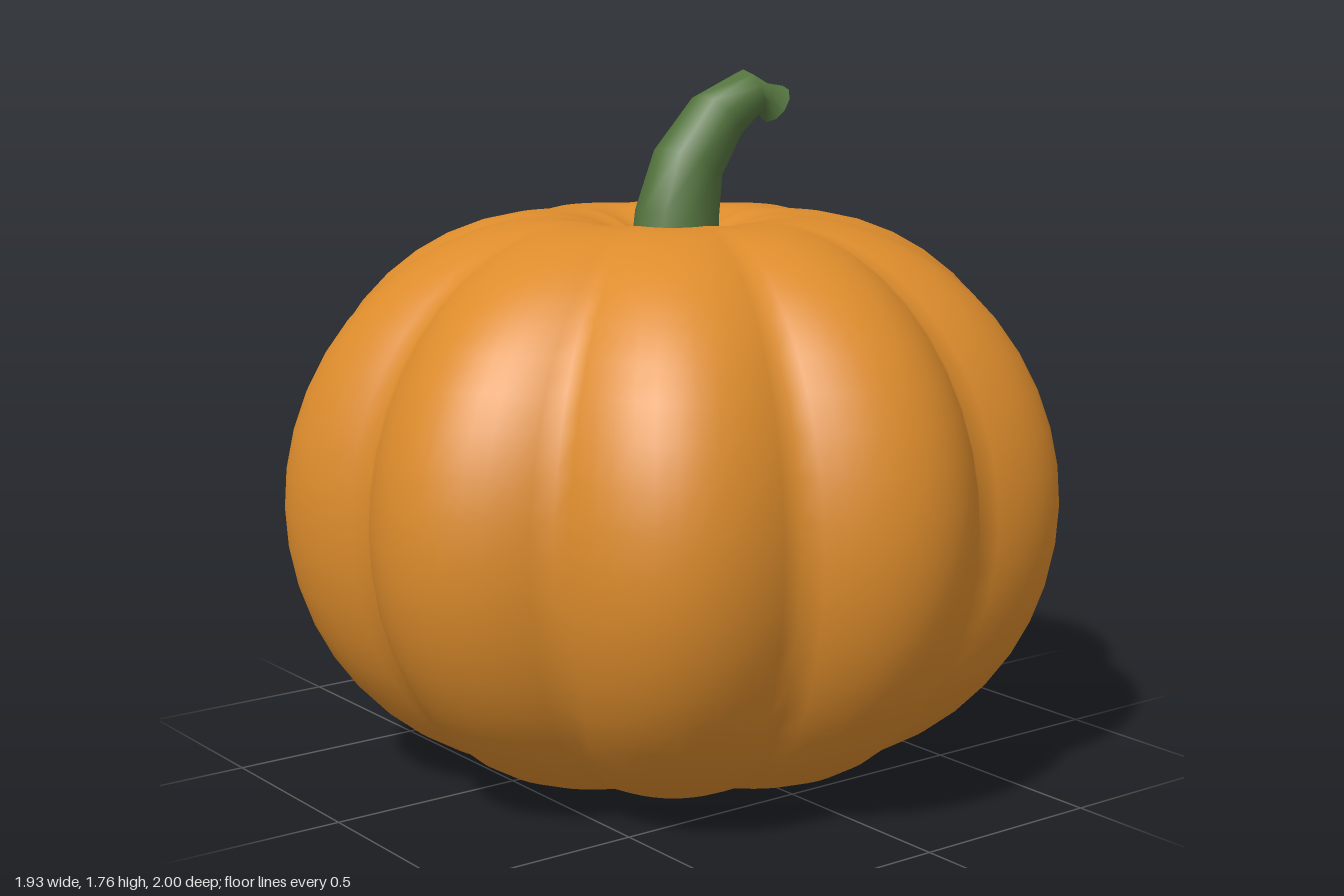
import * as THREE from 'three';

const MID = 0.7;          // height of the widest ring
const BACK = 0.61;        // depth (-z) of the flat floor of the carved pockets
const LOBES = 10;

// ---- pumpkin surface: v in [-1, 1] is the rounded side, beyond that the dimples
const lobe = (a) => 0.9 + 0.1 * Math.abs(Math.cos(a * LOBES / 2));

function surface(a, v) {
  const s = Math.sign(v), t = Math.abs(v);
  let r, y;
  if (t <= 1) {
    r = 0.32 + 0.68 * Math.cos(t * Math.PI / 2);
    y = 0.7 * Math.sin(t * Math.PI / 2);
  } else {
    const k = Math.min(t - 1, 1);
    r = 0.32 * (1 - k);
    y = 0.7 - 0.15 * k * k;
  }
  r *= lobe(a);
  return new THREE.Vector3(r * Math.sin(a), MID + s * y, r * Math.cos(a));
}

function surfaceNormal(a, v) {
  const da = 0.05, dv = 0.04;
  if (Math.abs(v) > 1.95) return new THREE.Vector3(0, Math.sign(v), 0);
  const ta = surface(a + da, v).sub(surface(a - da, v));
  const tv = surface(a, v + dv).sub(surface(a, v - dv));
  return ta.cross(tv).normalize();
}

// Distance of the skin behind the x-y plane at a point of the carved side
function skinDepth(x, y) {
  const h = (y - MID) / 0.7;
  const r = 0.32 + 0.68 * Math.sqrt(1 - h * h);
  let lo = 0, hi = 0.94;
  for (let i = 0; i < 30; i++) {
    const m = (lo + hi) / 2;
    if (r * lobe(m) * Math.sin(m) < Math.abs(x)) lo = m; else hi = m;
  }
  return r * lobe(lo) * Math.cos(lo);
}

// ---- carved outlines, counter-clockwise in x-y
const mirror = (pts) => pts.map(([x, y]) => [-x, y]).reverse();
const eye = [[0.12, 0.77], [0.55, 0.75], [0.37, 1.1]];
const nose = [[-0.1, 0.615], [0.1, 0.615], [0, 0.785]];
const halfMouth = [
  [0.1, 0.23], [0.1, 0.13], [0.24, 0.165], [0.42, 0.28], [0.53, 0.38], [0.6, 0.48],
  [0.66, 0.59], [0.33, 0.47], [0.33, 0.36], [0.15, 0.36], [0.15, 0.46],
];
const cuts = {
  leftEye: eye,
  rightEye: mirror(eye),
  nose,
  mouth: [...halfMouth, ...mirror(halfMouth)],
};

function triangles(outline) {
  const pts = outline.map(([x, y]) => new THREE.Vector2(x, y));
  return THREE.ShapeUtils.triangulateShape(pts, []).map((f) => f.map((i) => outline[i]));
}

// Split a polygon by the line p-q into its left and right parts
function split(poly, p, q) {
  const side = (c) => (q[0] - p[0]) * (c[1] - p[1]) - (q[1] - p[1]) * (c[0] - p[0]);
  const left = [], right = [];
  poly.forEach((c, i) => {
    const d = poly[(i + 1) % poly.length];
    const sc = side(c), sd = side(d);
    if (sc >= 0) left.push(c);
    if (sc <= 0) right.push(c);
    if (sc * sd < 0) {
      const t = sc / (sc - sd);
      const m = c.map((n, k) => n + (d[k] - n) * t);
      left.push(m);
      right.push(m);
    }
  });
  return [left, right];
}

// Remove a convex triangle from a list of polygons
function subtract(polys, tri) {
  const range = (list, k) => {
    const n = list.map((c) => c[k]);
    return [Math.min(...n), Math.max(...n)];
  };
  const out = [];
  for (const poly of polys) {
    const apart = [0, 1].some((k) => {
      const [a, b] = range(poly, k), [c, d] = range(tri, k);
      return b <= c || a >= d;
    });
    if (apart) { out.push(poly); continue; }
    let rest = poly;
    for (let i = 0; i < 3 && rest.length > 2; i++) {
      const [inside, outside] = split(rest, tri[i], tri[(i + 1) % 3]);
      if (outside.length > 2) out.push(outside);
      rest = inside;
    }
  }
  return out;
}

function geometry(pos, nor) {
  const g = new THREE.BufferGeometry();
  g.setAttribute('position', new THREE.Float32BufferAttribute(pos, 3));
  if (nor) g.setAttribute('normal', new THREE.Float32BufferAttribute(nor, 3));
  else g.computeVertexNormals();
  return g;
}

// Ribbed skin with the face cut out of its back
function skinGeometry() {
  const SEG = 120, ROWS = 44;
  const pos = [], nor = [];
  const holes = Object.values(cuts).flatMap(triangles);
  const vertex = (i, j) => {
    const a = (i / SEG) * Math.PI * 2, v = -2 + (4 * j) / ROWS;
    return [...surface(a, v).toArray(), ...surfaceNormal(a, v).toArray()];
  };
  for (let j = 0; j < ROWS; j++) {
    for (let i = 0; i < SEG; i++) {
      const a = vertex(i, j), b = vertex(i + 1, j), c = vertex(i + 1, j + 1), d = vertex(i, j + 1);
      let polys = [[a, b, c], [a, c, d]];
      if (a[2] < -0.45) for (const h of holes) polys = subtract(polys, h);
      for (const p of polys) {
        for (let k = 1; k < p.length - 1; k++) {
          for (const w of [p[0], p[k], p[k + 1]]) {
            pos.push(w[0], w[1], w[2]);
            nor.push(w[3], w[4], w[5]);
          }
        }
      }
    }
  }
  return geometry(pos, nor);
}

// Side walls and flat floor of one carved pocket
function pocketGeometry(outline) {
  const pos = [], STEPS = 12;
  outline.forEach((p, i) => {
    const q = outline[(i + 1) % outline.length];
    const at = (t) => [p[0] + (q[0] - p[0]) * t, p[1] + (q[1] - p[1]) * t];
    for (let s = 0; s < STEPS; s++) {
      const a = at(s / STEPS), b = at((s + 1) / STEPS);
      const za = -Math.max(skinDepth(...a), BACK), zb = -Math.max(skinDepth(...b), BACK);
      pos.push(...a, za, ...a, -BACK, ...b, -BACK, ...a, za, ...b, -BACK, ...b, zb);
    }
  });
  for (const [a, b, c] of triangles(outline)) pos.push(...a, -BACK, ...c, -BACK, ...b, -BACK);
  return geometry(pos);
}

// Bent stem with a flared end: rings of [x, y, z, radius]
function stemGeometry() {
  const rings = [
    [0.01, 1.24, 0, 0.118], [0.018, 1.4, 0, 0.107], [0.05, 1.53, 0.005, 0.092],
    [0.13, 1.645, 0.02, 0.078], [0.222, 1.703, 0.035, 0.06], [0.26, 1.69, 0.045, 0.036],
    [0.295, 1.67, 0.05, 0.052],
  ];
  const SIDES = 10, pos = [], index = [];
  rings.forEach(([x, y, z, r], k) => {
    const p = rings[Math.max(k - 1, 0)], q = rings[Math.min(k + 1, rings.length - 1)];
    const t = new THREE.Vector2(q[0] - p[0], q[1] - p[1]).normalize();
    for (let i = 0; i < SIDES; i++) {
      const a = (i / SIDES) * Math.PI * 2, c = r * Math.cos(a);
      pos.push(x - t.y * c, y + t.x * c, z + r * Math.sin(a));
      if (k === 0) continue;
      const n = (i + 1) % SIDES, lo = (k - 1) * SIDES, hi = k * SIDES;
      index.push(lo + i, lo + n, hi + n, lo + i, hi + n, hi + i);
    }
  });
  // end cap with its own vertices, so the rim stays sharp
  const start = pos.length / 3;
  pos.push(...pos.slice(-SIDES * 3));
  for (let i = 1; i < SIDES - 1; i++) index.push(start, start + i, start + i + 1);
  const g = geometry(pos);
  g.setIndex(index);
  g.computeVertexNormals();
  return g;
}

export function createModel() {
  const paint = (name, color) => Object.assign(new THREE.MeshStandardMaterial({ color }), { name });
  const orange = paint('orange skin', 0xdd8c2c);
  const tan = paint('tan flesh', 0xcc9a48);
  const green = paint('green stem', 0x55753f);

  const model = new THREE.Group();
  model.name = 'carvedPumpkin';
  const add = (name, geo, material) => {
    const mesh = new THREE.Mesh(geo, material);
    mesh.name = name;
    model.add(mesh);
  };
  add('skin', skinGeometry(), orange);
  for (const [name, outline] of Object.entries(cuts)) add(name, pocketGeometry(outline), tan);
  add('stem', stemGeometry(), green);
  return model;
}
